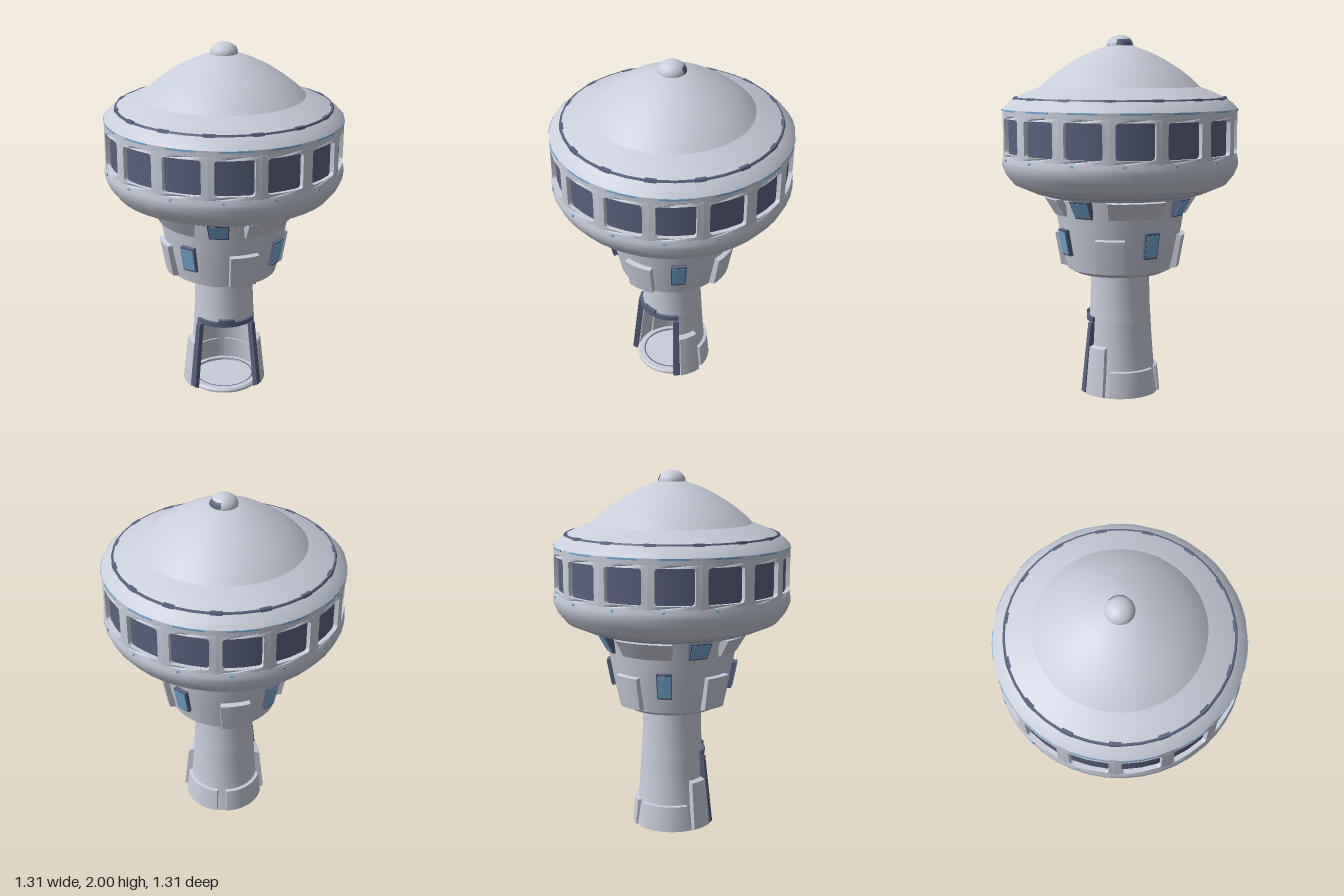
import * as THREE from 'three';
import { toCreasedNormals } from 'three/addons/utils/BufferGeometryUtils.js';

const RAD = Math.PI / 180;
const WINDOWS = 15;

export function createModel() {
  const model = new THREE.Group();
  model.name = 'observationTower';

  const mat = (name, color) => {
    const m = new THREE.MeshStandardMaterial({ color, side: THREE.DoubleSide });
    m.name = name;
    return m;
  };
  const shell = mat('paleGreyShell', 0xc8cdda);
  const dark = mat('darkSlate', 0x59627f);
  const blue = mat('lightBlue', 0x74acd8);

  const add = (name, geometry, material) => {
    const mesh = new THREE.Mesh(geometry, material);
    mesh.name = name;
    model.add(mesh);
    return mesh;
  };

  // Turned part, profile listed from bottom to top as [radius, height]
  const turned = (name, material, profile, segments = 45, start = 0, sweep = 360) => {
    const pts = profile.map(([r, y]) => new THREE.Vector2(r, y));
    const geo = new THREE.LatheGeometry(pts, segments, start * RAD, sweep * RAD);
    return add(name, toCreasedNormals(geo, 0.45), material);
  };

  // Plate bent around the tower axis; angle 0 faces the front, r0/r1 are its inner radii
  const plate = (name, material, angle, half, y0, y1, r0, r1, thick, inset = 0) => {
    const geo = new THREE.BoxGeometry(2, 1, 1, Math.max(2, Math.ceil(half / 4)), 1, 1);
    const p = geo.attributes.position;
    for (let i = 0; i < p.count; i++) {
      const outer = p.getZ(i) > 0;
      const k = outer ? 1 - inset : 1;
      const a = (angle + p.getX(i) * half * k) * RAD;
      const t = 0.5 + p.getY(i) * k;
      const r = r0 + (r1 - r0) * t + (outer ? thick : 0);
      p.setXYZ(i, r * Math.sin(a), y0 + (y1 - y0) * t, r * Math.cos(a));
    }
    geo.computeVertexNormals();
    return add(name, geo, material);
  };

  // Column, open at the front near the ground
  turned('column', shell, [[0.173, 0.42], [0.167, 0.52], [0.164, 0.7]], 32);
  turned('columnBase', shell, [[0.215, 0], [0.192, 0.15], [0.18, 0.3], [0.173, 0.42]], 24, 56, 248);
  turned('baseRing', shell, [[0.17, 0], [0.207, 0], [0.207, 0.012], [0.198, 0.022], [0.17, 0.022], [0.17, 0]], 32);
  turned('baseSeam', dark, [[0.17, 0.023], [0.163, 0.023]], 32);
  turned('baseFloor', shell, [[0.17, 0.008], [0.001, 0.008]], 32);

  // Doorway frame
  for (const s of [-1, 1]) {
    plate('doorPost', dark, s * 53, 5, 0, 0.42, 0.213, 0.166, 0.03, 0.08);
    plate('sideButtress', shell, s * 74, 16, 0, 0.285, 0.205, 0.175, 0.035, 0.07);
    plate('rearButtress', shell, s * 135, 40, 0, 0.15, 0.195, 0.18, 0.03, 0.06);
  }
  plate('doorHeader', dark, 0, 58, 0.41, 0.437, 0.163, 0.163, 0.025);
  plate('doorHeaderBlock', dark, 0, 14, 0.43, 0.455, 0.165, 0.165, 0.025);

  // Lower pod
  turned('podCollar', dark, [[0.16, 0.685], [0.187, 0.685], [0.187, 0.7]], 32);
  turned('lowerPod', shell, [[0.16, 0.69], [0.25, 0.692], [0.295, 0.715], [0.325, 0.85],
    [0.352, 1.0], [0.372, 1.14]], 40);
  for (let i = 0; i < 4; i++) {
    const a = i * 90;
    plate('lowerPodPanel', shell, a + 14, 14, 0.72, 0.915, 0.29, 0.325, 0.04, 0.08);
    plate('lowerWindowFrame', dark, a - 38, 7, 0.8, 0.95, 0.3, 0.33, 0.038, 0.04);
    plate('lowerWindow', blue, a - 38, 5.7, 0.813, 0.937, 0.335, 0.36, 0.008);
    plate('upperPodPanel', shell, a + 36, 24, 1.02, 1.12, 0.325, 0.385, 0.042, 0.07);
    plate('upperWindowFrame', dark, a - 9, 8.5, 1.02, 1.12, 0.325, 0.38, 0.042, 0.04);
    plate('upperWindow', blue, a - 9, 7.2, 1.03, 1.11, 0.368, 0.413, 0.008);
  }

  // Saucer below and above the window band
  turned('saucerUnderside', shell, [[0.36, 1.128], [0.42, 1.124], [0.5, 1.15], [0.59, 1.188],
    [0.632, 1.24], [0.654, 1.29], [0.654, 1.32], [0.648, 1.345]]);
  turned('undersideLine', blue, [[0.496, 1.146], [0.504, 1.15]]);
  turned('saucerRim', shell, [[0.648, 1.565], [0.648, 1.6], [0.62, 1.632], [0.585, 1.656]]);
  turned('roofSeam', dark, [[0.591, 1.654], [0.587, 1.662], [0.578, 1.662]]);
  turned('roof', shell, [[0.585, 1.656], [0.52, 1.688], [0.44, 1.718]]);
  turned('dome', shell, [[0.44, 1.718], [0.4, 1.758], [0.34, 1.805], [0.25, 1.864],
    [0.16, 1.908], [0.08, 1.938], [0.001, 1.945]]);

  // Window band: glass ring behind rounded frames
  turned('windowGlass', dark, [[0.625, 1.34], [0.625, 1.57]]);
  const R = 0.648, step = 360 / WINDOWS, hw = R * step * RAD / 2;
  const frame = new THREE.Shape();
  const edge = [-1, -0.5, 0, 0.5, 1];
  frame.setFromPoints([
    ...edge.map(e => new THREE.Vector2(e * hw, 1.34)),
    ...edge.map(e => new THREE.Vector2(-e * hw, 1.57)),
  ]);
  const w = 0.103, lo = 1.362, hi = 1.55, c = 0.02;
  const hole = new THREE.Path();
  hole.moveTo(-w + c, lo).lineTo(0, lo).lineTo(w - c, lo);
  hole.quadraticCurveTo(w, lo, w, lo + c).lineTo(w, hi - c);
  hole.quadraticCurveTo(w, hi, w - c, hi).lineTo(0, hi).lineTo(-w + c, hi);
  hole.quadraticCurveTo(-w, hi, -w, hi - c).lineTo(-w, lo + c);
  hole.quadraticCurveTo(-w, lo, -w + c, lo);
  frame.holes.push(hole);
  const flat = new THREE.ExtrudeGeometry(frame, { depth: 0.03, bevelEnabled: false, curveSegments: 4 });
  const fp = flat.attributes.position;
  for (let i = 0; i < fp.count; i++) {
    const a = fp.getX(i) / R, r = R - 0.03 + fp.getZ(i);
    fp.setXYZ(i, r * Math.sin(a), fp.getY(i), r * Math.cos(a));
  }
  const frameGeo = toCreasedNormals(flat, 0.6);

  for (let i = 0; i < WINDOWS; i++) {
    const a = i * step;
    add('windowFrame', frameGeo, shell).rotation.y = a * RAD;
    plate('rimLight', blue, a, 7, 1.59, 1.599, 0.643, 0.643, 0.008);
    plate('sillLight', blue, a - 5, 0.7, 1.323, 1.335, 0.648, 0.646, 0.008);
    plate('roofClip', dark, a + step / 2, 3, 1.648, 1.664, 0.575, 0.57, 0.018);
  }

  // Finial with a dark inset on its rear left
  const knob = (name, material, r, ...range) => {
    const mesh = add(name, new THREE.SphereGeometry(r, 24, 12, ...range), material);
    mesh.scale.y = 0.8;
    mesh.position.y = 1.94;
  };
  knob('finial', shell, 0.075, 0, Math.PI * 2, 0, Math.PI / 2);
  knob('finialInset', dark, 0.0765, Math.PI * 1.05, Math.PI * 0.4, 0.95, 0.55);

  return model;
}
